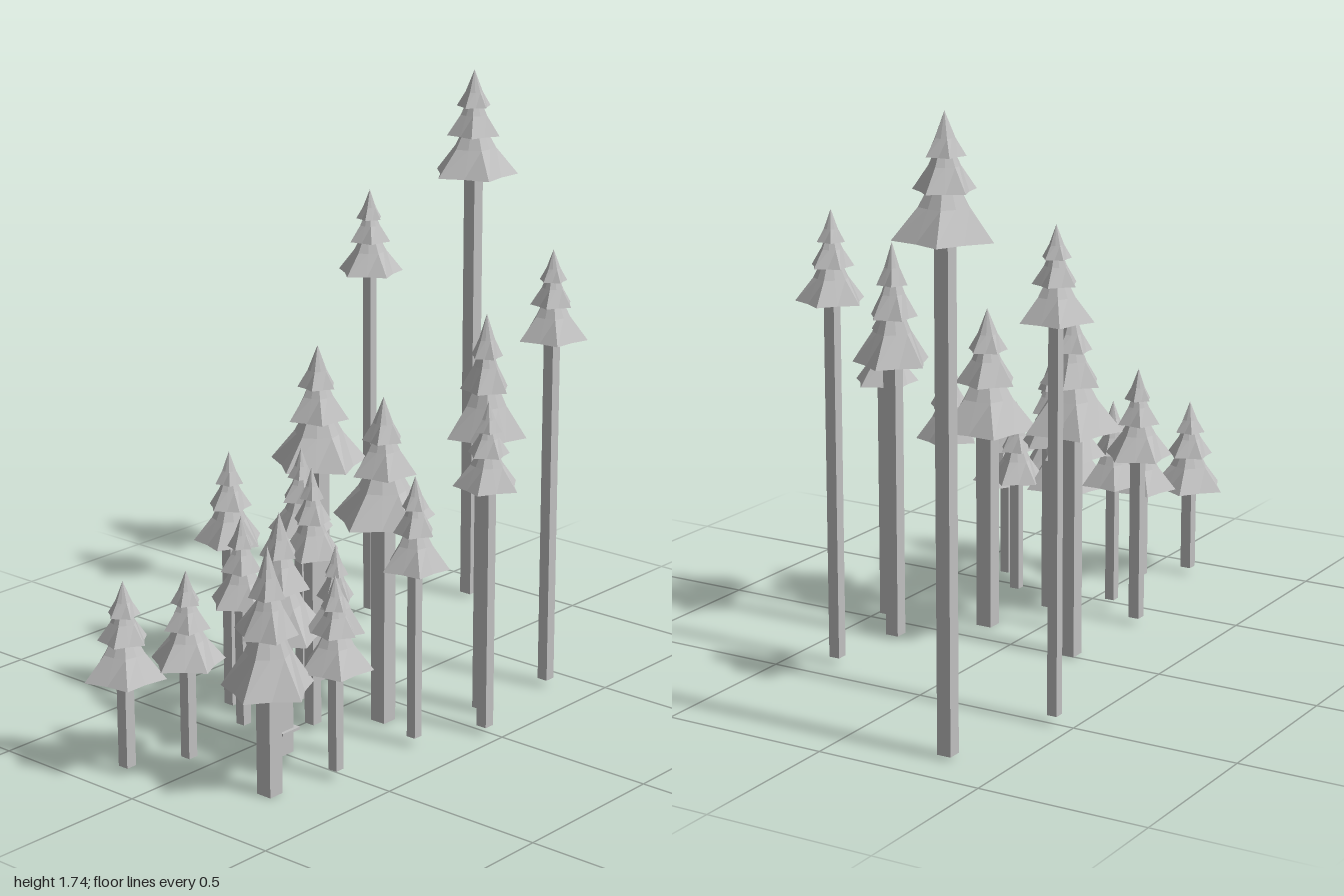
import * as THREE from 'three';

const SIDES = 10; // five points and five notches

// Unit branch tier: radius 1, height 1, with a flared star-shaped skirt
function makeTier() {
  // [tip radius, notch radius, height] from the apex down and under
  const rings = [[0, 0, 1], [0.5, 0.44, 0.4], [1, 0.75, 0], [0, 0, 0.08]];
  const positions = [], index = [];
  rings.forEach(([tip, notch, y]) => {
    for (let i = 0; i < SIDES; i++) {
      const a = (i / SIDES) * Math.PI * 2, r = i % 2 ? notch : tip;
      positions.push(Math.cos(a) * r, y, Math.sin(a) * r);
    }
  });
  for (let k = 0; k < rings.length - 1; k++) {
    for (let i = 0; i < SIDES; i++) {
      const j = (i + 1) % SIDES;
      const u0 = k * SIDES + i, u1 = k * SIDES + j;
      const l0 = u0 + SIDES, l1 = u1 + SIDES;
      if (rings[k][0] > 0) index.push(u0, u1, l1);
      if (rings[k + 1][0] > 0) index.push(u0, l1, l0);
      else if (rings[k][0] > 0) continue;
    }
  }
  const g = new THREE.BufferGeometry();
  g.setAttribute('position', new THREE.Float32BufferAttribute(positions, 3));
  g.setIndex(index);
  const flat = g.toNonIndexed();
  flat.computeVertexNormals();
  return flat;
}

// x, z, crown bottom, crown top, crown radius, trunk width, turn in degrees
const TREES = [
  [0.50, -0.44, 1.14, 1.40, 0.105, 0.03, 37],
  [0.86, -0.32, 1.41, 1.74, 0.14, 0.042, 49],
  [-0.885, -0.135, 0.29, 0.57, 0.12, 0.034, 59],
  [-0.73, -0.045, 0.31, 0.58, 0.11, 0.032, 33],
  [-0.36, -0.23, 0.53, 0.80, 0.105, 0.034, 13],
  [-0.46, -0.09, 0.40, 0.66, 0.10, 0.03, 40],
  [-0.20, -0.095, 0.55, 0.80, 0.10, 0.03, 25],
  [-0.01, -0.20, 0.69, 1.05, 0.15, 0.047, 33],
  [-0.315, 0.05, 0.54, 0.80, 0.09, 0.034, 14],
  [-0.495, 0.09, 0.36, 0.72, 0.14, 0.05, 33],
  [-0.405, 0.22, 0.38, 0.63, 0.09, 0.03, 0],
  [-0.125, 0.155, 0.62, 0.985, 0.155, 0.05, 34],
  [-0.725, 0.26, 0.31, 0.72, 0.135, 0.05, 24],
  [-0.53, 0.33, 0.33, 0.60, 0.108, 0.03, 58],
  [-0.21, 0.345, 0.54, 0.81, 0.10, 0.03, 60],
  [0.12, 0.33, 0.85, 1.21, 0.12, 0.042, 64],
  [-0.005, 0.44, 0.75, 1.00, 0.10, 0.034, 14],
  [0.40, 0.35, 1.085, 1.35, 0.105, 0.034, 62],
];

// bottom, top, radius and extra turn of each tier, relative to the crown
const TIERS = [
  [0, 0.64, 1, 0],
  [0.38, 0.86, 0.62, 25],
  [0.65, 1, 0.4, 50],
];

export function createModel() {
  const grey = new THREE.MeshStandardMaterial({ color: 0xc0c0c0, flatShading: true });
  grey.name = 'plain grey';
  const tier = makeTier();
  const box = new THREE.BoxGeometry(1, 1, 1);
  const forest = new THREE.Group();
  forest.name = 'forest';

  const add = (parent, geometry, name, y, sx, sy, sz) => {
    const mesh = new THREE.Mesh(geometry, grey);
    mesh.name = name;
    mesh.position.y = y;
    mesh.scale.set(sx, sy, sz);
    parent.add(mesh);
    return mesh;
  };

  TREES.forEach(([x, z, low, high, radius, width, turn], n) => {
    const tree = new THREE.Group();
    tree.name = `pineTree${n + 1}`;
    tree.position.set(x, 0, z);

    // square trunk, thinner ones start a little higher
    const base = (0.05 - width) * 1.4;
    const top = low + (high - low) * 0.3;
    add(tree, box, 'trunk', (base + top) / 2, width, top - base, width);

    // crown of three stacked tiers
    const h = high - low;
    TIERS.forEach(([b, t, r, extra], i) => {
      const mesh = add(tree, tier, `branchTier${i + 1}`, low + b * h, radius * r, (t - b) * h, radius * r);
      mesh.rotation.y = -THREE.MathUtils.degToRad(turn + extra);
    });
    forest.add(tree);
  });

  // low square collar round one trunk
  const collar = add(forest, box, 'trunkCollar', 0.07, 0.072, 0.008, 0.072);
  collar.position.x = -0.49;
  collar.position.z = 0.09;

  return forest;
}
